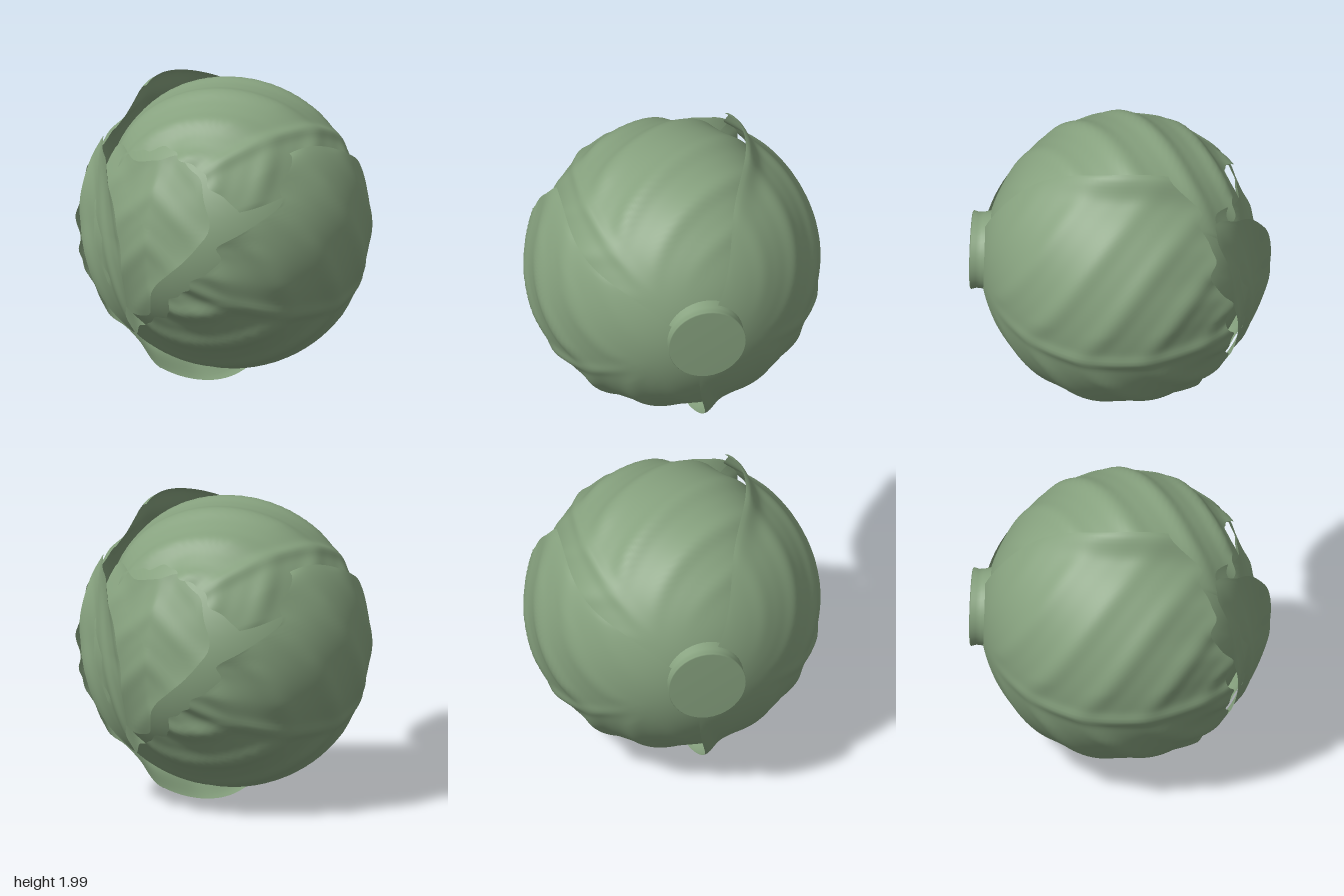
import * as THREE from 'three';

const RAD = Math.PI / 180;
const SQUASH = 0.97; // the head is slightly flattened from stem to front
const gauss = (d, w) => Math.exp(-(d * d) / (w * w));
const ridge = (p) => Math.pow(0.5 + 0.5 * Math.cos(p), 2);

// Grid surface from a rule (u, v in 0..1)
function surface(nu, nv, rule) {
  const pos = [], index = [];
  for (let i = 0; i <= nu; i++) {
    for (let j = 0; j <= nv; j++) pos.push(...rule(i / nu, j / nv));
  }
  for (let i = 0; i < nu; i++) {
    for (let j = 0; j < nv; j++) {
      const a = i * (nv + 1) + j, b = a + nv + 1;
      index.push(a, b, a + 1, b, b + 1, a + 1);
    }
  }
  const g = new THREE.BufferGeometry();
  g.setAttribute('position', new THREE.Float32BufferAttribute(pos, 3));
  g.setIndex(index);
  g.computeVertexNormals();
  return g;
}

// Smooth lookup of the front rim: pairs of [azimuth, reach], in degrees
function reachAt(rim, a) {
  let k = 0;
  while (k < rim.length - 2 && a > rim[k + 1][0]) k++;
  const [a0, r0] = rim[k], [a1, r1] = rim[k + 1];
  return r0 + (r1 - r0) * THREE.MathUtils.smoothstep(a, a0, a1);
}

// Wrapping leaf: grows from the stem at the back and closes towards the front
function wrapLeaf({ radius, rim, midrib, flareStart, flareEnd, flareWidth, lip, vein }) {
  const first = rim[0][0], last = rim[rim.length - 1][0];
  const span = (last - first) * RAD;
  return surface(96, 56, (u, v) => {
    const deg = first + (last - first) * u;
    let a = deg * RAD;
    const reach = reachAt(rim, deg) * RAD + 0.025 * Math.sin(a * 13) + 0.01 * Math.sin(a * 29 + 1);
    const th = reach * v;
    const side = Math.abs(a - midrib * RAD);
    const s = Math.sin(th);
    const grow = THREE.MathUtils.smoothstep(th, 0.35, 1.3);
    const inner = Math.sqrt(Math.max(0, Math.sin(Math.PI * u)));
    // herringbone veins sweeping forward from the midrib
    let r = radius + vein * grow * inner * ridge(th * 14 - side * 10) * Math.min(1, side * 3 + 0.3);
    r += 0.008 * grow * gauss(side * s, 0.05);
    // side edges flare out or tuck under, front lip opens a little
    r += flareStart * grow * gauss(u * span, flareWidth) * gauss(th - 1.7, 0.5);
    r += flareEnd * grow * gauss((1 - u) * span, flareWidth);
    r += lip * inner * Math.pow(v, 10) * (1 + 0.5 * Math.sin(a * 13));
    a += 0.04 * Math.sin(th * 5) * (2 * u - 1) ** 4;
    return [r * s * Math.cos(a), r * s * Math.sin(a), -SQUASH * r * Math.cos(th)];
  });
}

// Heart leaf: patch on the front with a free outline, lifted at the rim
function heartLeaf({ radius, centre, outline, lift, vein }) {
  const curve = new THREE.CatmullRomCurve3(
    outline.map(([x, y]) => new THREE.Vector3(x, y, 0)), true);
  return surface(72, 18, (u, v) => {
    const p = curve.getPoint(u % 1);
    const w = v * (1 + 0.02 * v * Math.sin(u * Math.PI * 18));
    const x = centre[0] + (p.x - centre[0]) * w;
    const y = centre[1] + (p.y - centre[1]) * w;
    const z = SQUASH * Math.sqrt(Math.max(0.001, radius * radius - x * x - y * y));
    return [x, y, z + lift(y, v) + vein(x, y)];
  });
}

export function createModel() {
  const green = new THREE.MeshStandardMaterial({ color: 0x86a17e, side: THREE.DoubleSide });
  green.name = 'cabbage green';

  const core = new THREE.SphereGeometry(0.362, 40, 28);
  core.scale(1, 1, SQUASH);

  // Cut stem, slightly waisted, pointing back
  const stem = new THREE.LatheGeometry([
    [0.112, 0.345], [0.104, 0.375], [0.103, 0.388], [0.107, 0.402], [0.105, 0.405], [0, 0.405],
  ].map(([x, y]) => new THREE.Vector2(x, y)), 40);
  stem.rotateX(-Math.PI / 2);
  stem.translate(-0.02, 0.01, 0);

  const parts = {
    core,
    stem,
    topLeaf: wrapLeaf({
      radius: 0.383, midrib: 48, vein: 0.012, lip: 0.004,
      flareStart: -0.02, flareEnd: -0.012, flareWidth: 0.3,
      rim: [[22, 130], [45, 137], [80, 139], [110, 145], [135, 148]],
    }),
    rightHandLeaf: wrapLeaf({
      radius: 0.394, midrib: -30, vein: 0.012, lip: 0.01,
      flareStart: -0.014, flareEnd: 0.004, flareWidth: 0.2,
      rim: [[-112, 127], [-90, 145], [-40, 150], [0, 139], [22, 112], [37, 98]],
    }),
    leftHandLeaf: wrapLeaf({
      radius: 0.397, midrib: 195, vein: 0.009, lip: 0.012,
      flareStart: 0.044, flareEnd: 0.043, flareWidth: 0.12,
      rim: [[115, 108], [128, 127], [150, 132], [180, 141], [215, 141], [250, 127], [265, 118]],
    }),
    innerHeartLeaf: heartLeaf({
      radius: 0.376, centre: [0.04, 0.05],
      outline: [[-0.16, 0.22], [0, 0.21], [0.1, 0.235], [0.19, 0.17], [0.225, 0.03],
        [0.09, -0.11], [0, -0.22], [-0.12, -0.14]],
      lift: (y, v) => 0.014 * v ** 4,
      vein: (x, y) => 0.005 * ridge((y + Math.abs(x - 0.06) * 0.8) * 45) + 0.005 * gauss(x - 0.06, 0.025),
    }),
    outerHeartLeaf: heartLeaf({
      radius: 0.382, centre: [-0.12, 0],
      outline: [[-0.21, 0.24], [-0.14, 0.22], [-0.06, 0.15], [-0.01, 0.03], [-0.005, -0.07],
        [-0.04, -0.2], [-0.1, -0.28], [-0.18, -0.16], [-0.24, 0.02], [-0.235, 0.17]],
      lift: (y, v) => v * v * (0.03 + 0.14 * Math.max(0, y)),
      vein: (x, y) => 0.005 * ridge((x + 0.12 + y * 0.3) * 60),
    }),
  };

  // Two equal heads, one above the other
  const model = new THREE.Group();
  model.name = 'cabbages';
  [['lowerCabbage', 0.44], ['upperCabbage', 1.6]].forEach(([name, y]) => {
    const head = new THREE.Group();
    head.name = name;
    head.position.y = y;
    for (const [part, geometry] of Object.entries(parts)) {
      const mesh = new THREE.Mesh(geometry, green);
      mesh.name = part;
      head.add(mesh);
    }
    model.add(head);
  });
  return model;
}
